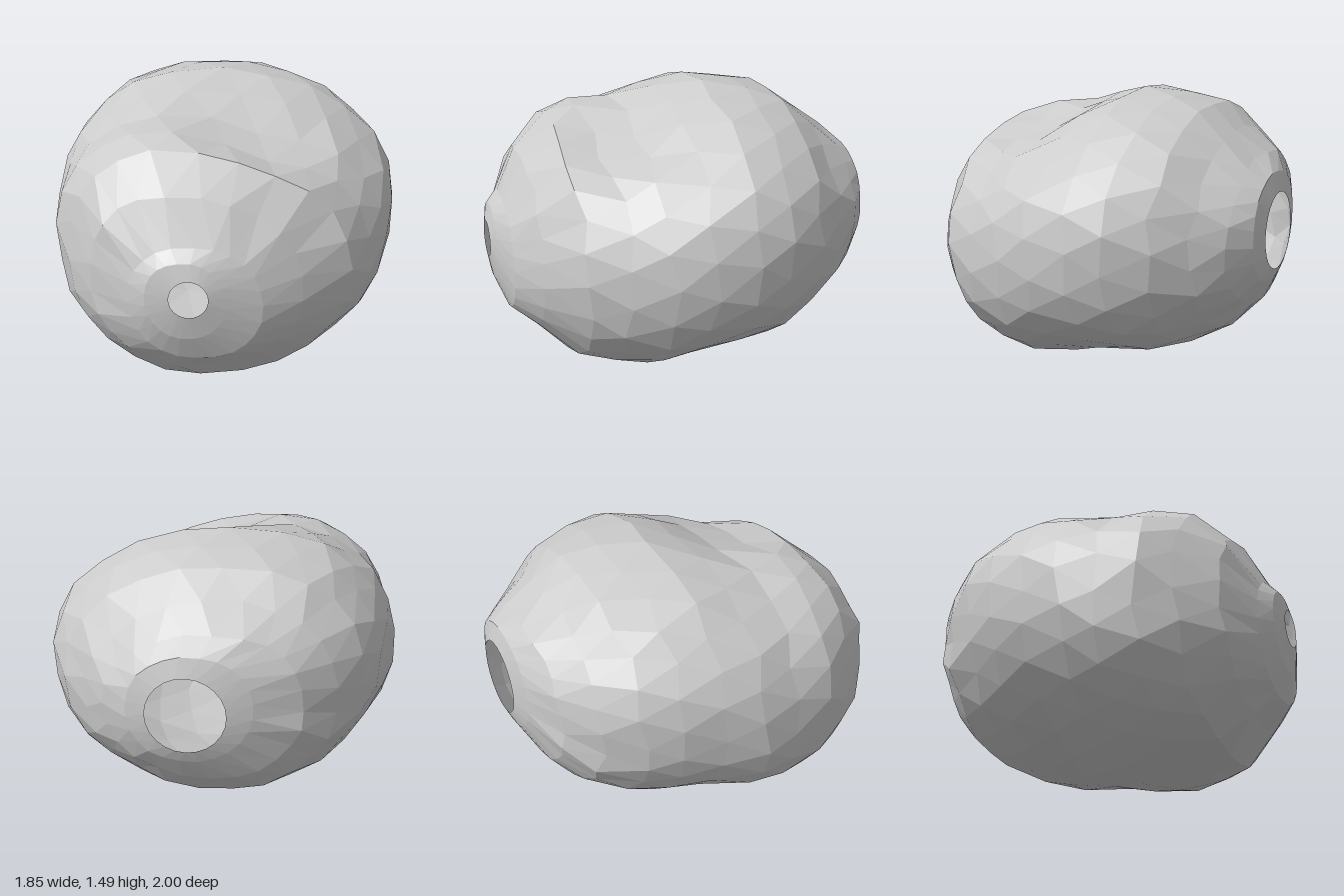
import * as THREE from 'three';

const SEGS = 24;

// small seeded noise in -1..1
function makeNoise(seed) {
  return () => {
    seed = (seed * 16807) % 2147483647;
    return (seed / 2147483647) * 2 - 1;
  };
}

// triangles between consecutive closed rings; every other ring is turned half a step
function loft(rings) {
  const index = [];
  for (let i = 0; i < rings.length - 1; i++) {
    for (let j = 0; j < SEGS; j++) {
      const k = (j + 1) % SEGS;
      const a = i * SEGS + j, b = i * SEGS + k;
      const c = a + SEGS, d = b + SEGS;
      if (i % 2) index.push(a, c, d, a, d, b);
      else index.push(a, c, b, b, c, d);
    }
  }
  const geo = new THREE.BufferGeometry();
  geo.setAttribute('position', new THREE.Float32BufferAttribute(rings.flat(2), 3));
  geo.setIndex(index);
  geo.computeVertexNormals();
  return geo;
}

// cross-sections, front opening to back opening: z, min x, max x, min y, max y
const SECTIONS = [
  [1.0, -0.23, -0.035, 0.58, 0.775],
  [0.975, -0.35, 0.05, 0.45, 0.86],
  [0.92, -0.44, 0.23, 0.31, 0.92],
  [0.8, -0.64, 0.43, 0.2, 1.14],
  [0.62, -0.78, 0.67, 0.05, 1.32],
  [0.44, -0.87, 0.78, 0.01, 1.37],
  [0.24, -0.91, 0.87, 0.0, 1.38],
  [0.04, -0.93, 0.92, 0.04, 1.43],
  [-0.18, -0.89, 0.93, 0.08, 1.485],
  [-0.38, -0.84, 0.89, 0.11, 1.465],
  [-0.56, -0.77, 0.79, 0.16, 1.42],
  [-0.74, -0.63, 0.65, 0.26, 1.3],
  [-0.88, -0.47, 0.53, 0.4, 1.19],
  [-0.97, -0.23, 0.4, 0.54, 1.11],
  [-1.0, -0.1, 0.3, 0.61, 1.01],
];

// roundness of each quarter of a cross-section
function fullness(c, s, z) {
  if (s > 0) return c < 0 ? (z > 0.3 ? 2.5 : 2.33) : 2.05;
  return c < 0 ? (z > 0 ? 2.03 : 1.9) : 2.28;
}

function bodyRings() {
  const noise = makeNoise(421);
  const last = SECTIONS.length - 1;
  return SECTIONS.map(([z, x0, x1, y0, y1], i) => {
    const rim = i === 0 || i === last;
    const tip = i < 3 || i > last - 2;
    const wobble = tip ? 0 : i === 3 || i === last - 2 ? 0.015 : 0.03;
    const ring = [];
    for (let j = 0; j < SEGS; j++) {
      const t = ((j + (i % 2) * 0.5) / SEGS) * Math.PI * 2;
      const c = Math.cos(t), s = Math.sin(t);
      const power = rim ? 1 : 2 / fullness(c, s, z);
      const k = rim ? 1 : 1 + 0.01 * noise();
      let x = (x0 + x1) / 2 + ((x1 - x0) / 2) * k * Math.sign(c) * Math.abs(c) ** power;
      let y = (y0 + y1) / 2 + ((y1 - y0) / 2) * k * Math.sign(s) * Math.abs(s) ** power;
      const zz = z + wobble * noise();
      if (!tip) x -= 0.05 * s * s;
      // hollow in the upper front
      if (s > 0 && !tip) y -= 0.13 * Math.exp(-(((x - 0.2) / 0.3) ** 2) - ((zz - 0.4) / 0.25) ** 2);
      ring.push([x, Math.max(0, y), zz]);
    }
    return ring;
  });
}

export function createModel() {
  const group = new THREE.Group();
  group.name = 'piercedStone';
  // hollow shell, open at both ends, so the inside shows through the holes
  const stone = new THREE.MeshStandardMaterial({
    color: 0xcccccc, flatShading: true, side: THREE.DoubleSide,
  });
  const shell = new THREE.Mesh(loft(bodyRings()), stone);
  shell.name = 'stoneShell';
  group.add(shell);
  return group;
}
